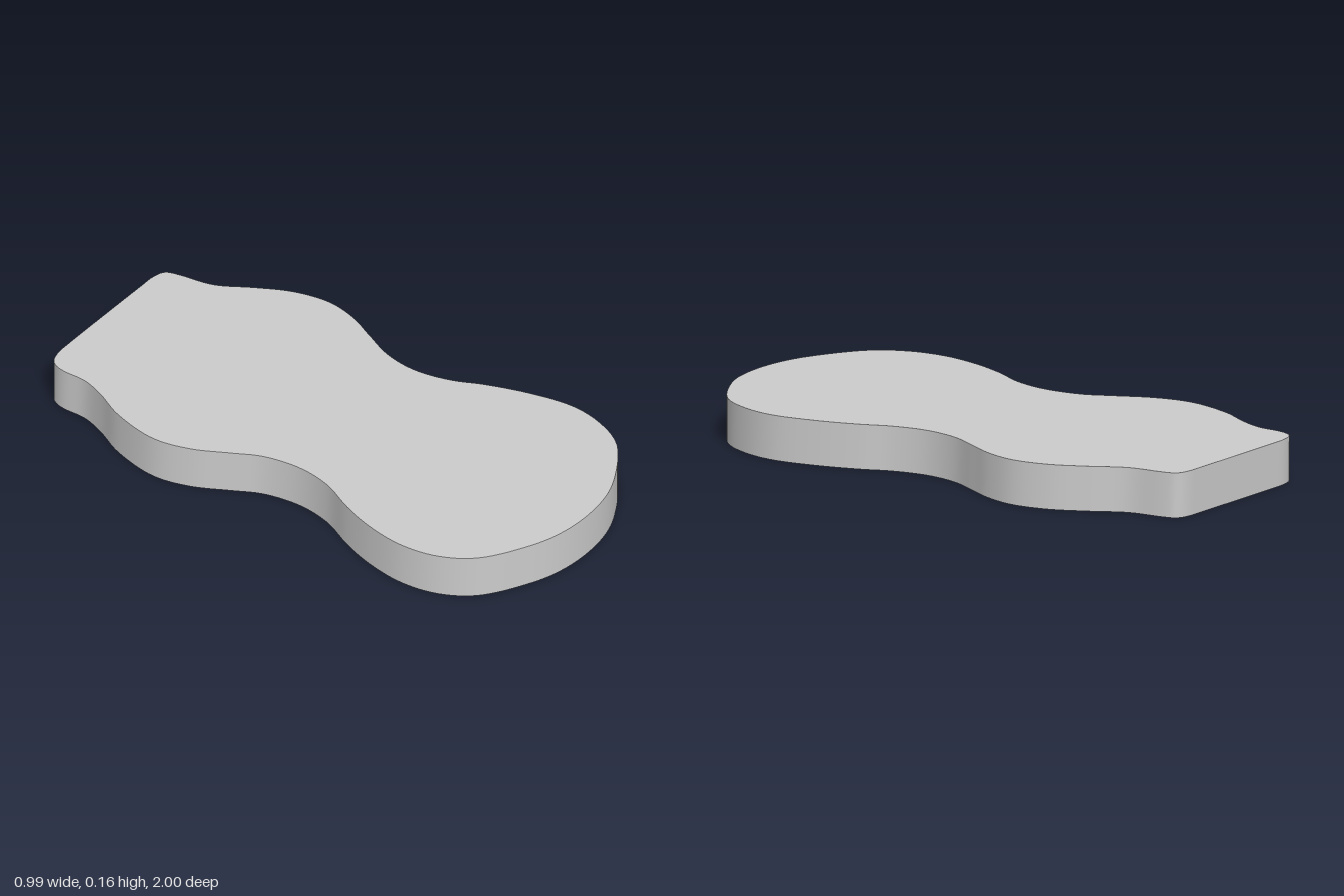
import * as THREE from 'three';

const HEIGHT = 0.157;
const SEGMENTS = 240;

// Outline as [x, z], from the middle of the back edge, along -x to the front and back along +x
const OUTLINE = [
  [0, -0.997], [-0.22, -1], [-0.28, -0.998], [-0.33, -0.98], [-0.352, -0.935], [-0.357, -0.83],
  [-0.39, -0.74], [-0.447, -0.63], [-0.49, -0.45], [-0.465, -0.315], [-0.405, -0.19],
  [-0.357, -0.09], [-0.338, 0.05], [-0.362, 0.18], [-0.426, 0.31], [-0.474, 0.45],
  [-0.495, 0.59], [-0.474, 0.725], [-0.405, 0.838], [-0.246, 0.94], [-0.13, 0.983],
  [0, 0.998], [0.14, 0.983], [0.25, 0.94], [0.4, 0.838], [0.465, 0.72],
  [0.488, 0.593], [0.463, 0.434], [0.415, 0.28], [0.368, 0.17], [0.344, 0.04],
  [0.362, -0.085], [0.415, -0.2], [0.463, -0.3], [0.49, -0.42], [0.468, -0.555],
  [0.41, -0.677], [0.342, -0.8], [0.321, -0.926], [0.305, -0.975], [0.26, -0.991], [0.2, -0.993],
];

export function createModel() {
  const group = new THREE.Group();
  const material = new THREE.MeshStandardMaterial({ color: 0xcccccc, side: THREE.DoubleSide });

  const curve = new THREE.CatmullRomCurve3(
    OUTLINE.map(([x, z]) => new THREE.Vector3(x, 0, z)), true, 'centripetal');
  curve.arcLengthDivisions = 1000;
  const ring = curve.getSpacedPoints(SEGMENTS);

  // Flat top plate
  const shape = new THREE.Shape(ring.slice(0, -1).map((p) => new THREE.Vector2(p.x, -p.z)));
  const topGeometry = new THREE.ShapeGeometry(shape);
  topGeometry.rotateX(-Math.PI / 2);
  topGeometry.translate(0, HEIGHT, 0);
  const top = new THREE.Mesh(topGeometry, material);
  top.name = 'topPlate';
  group.add(top);

  // Side wall: a strip wrapped round the outline, open underneath
  const wallGeometry = new THREE.PlaneGeometry(1, 1, SEGMENTS, 1);
  const position = wallGeometry.attributes.position;
  for (let i = 0; i < position.count; i++) {
    const p = ring[i % (SEGMENTS + 1)];
    position.setXYZ(i, p.x, i <= SEGMENTS ? HEIGHT : 0, p.z);
  }
  wallGeometry.computeVertexNormals();
  const wall = new THREE.Mesh(wallGeometry, material);
  wall.name = 'sideWall';
  group.add(wall);

  return group;
}
